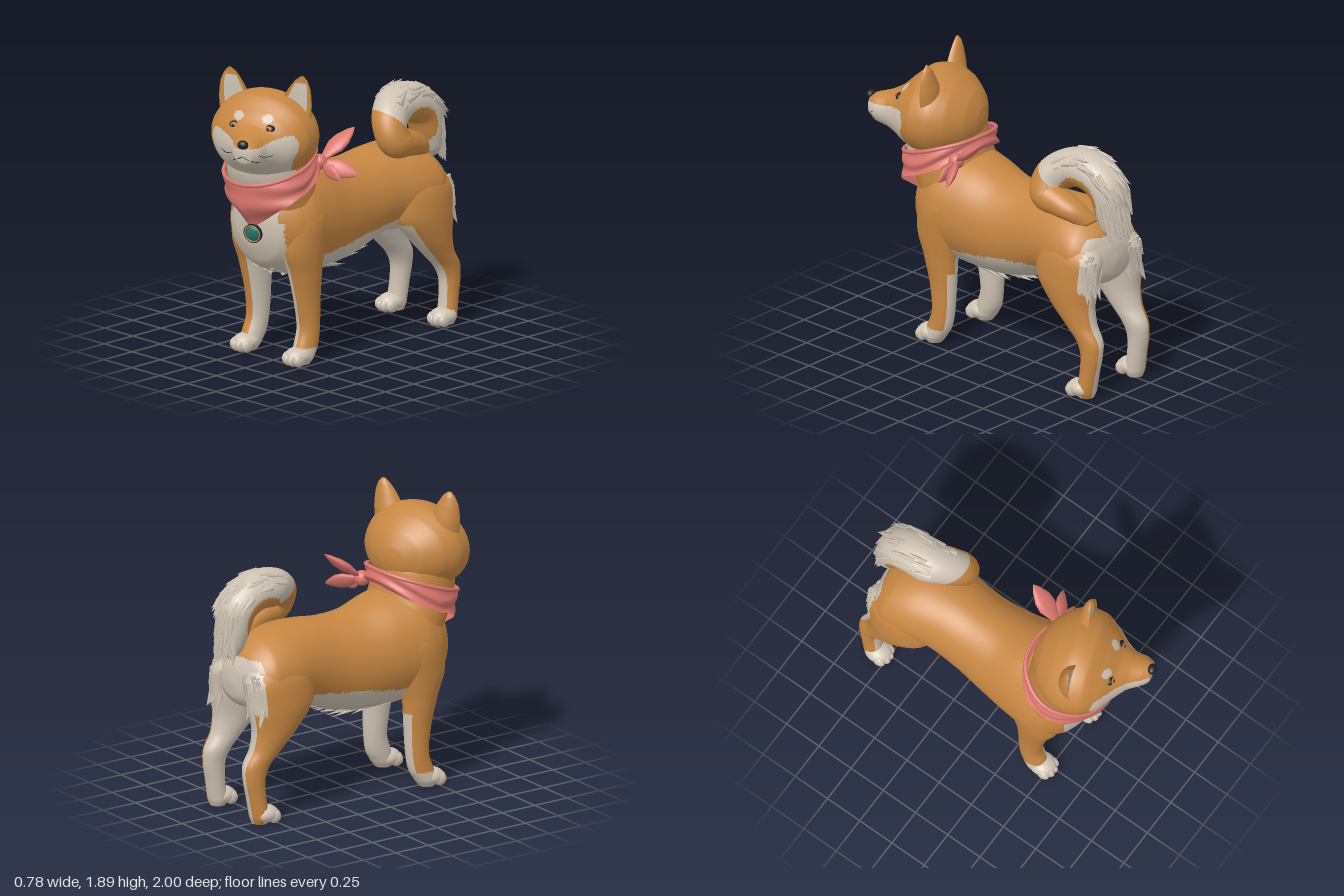
import * as THREE from 'three';
import { mergeGeometries } from 'three/addons/utils/BufferGeometryUtils.js';

const V = (x, y, z) => new THREE.Vector3(x, y, z);
const mat = (name, color, side = THREE.FrontSide) => {
  const m = new THREE.MeshStandardMaterial({ color, side });
  m.name = name;
  return m;
};
const orange = mat('orangeFur', 0xc68642), cream = mat('creamFur', 0xcec2b2);
const pink = mat('pinkCloth', 0xd9756c, THREE.DoubleSide), dark = mat('darkNose', 0x222224);
const teal = mat('tealStone', 0x1f7564), gold = mat('goldTrim', 0xa8884c), amber = mat('amberEye', 0xb87a34);
const MID = -0.05, DOWN = Math.PI / 2, RAD = Math.PI / 180;

let seed = 7;
const rnd = (a, b) => { seed = (seed * 16807) % 2147483647; return a + (b - a) * seed / 2147483647; };

function add(parent, name, geo, material, pos = [0, 0, 0]) {
  const m = new THREE.Mesh(geo, material);
  m.name = name;
  m.position.set(...pos);
  parent.add(m);
  return m;
}

// Smooth skin through rings [x, y, z, halfWidth, halfHeight]. tilt 0 = rings along +z,
// DOWN = rings going down, null = rings follow the path. Returns point(u, angle), tangent(u).
function skin(rings, tilt = 0, flat = 1) {
  const path = new THREE.CatmullRomCurve3(rings.map(r => V(r[0], r[1], r[2])));
  const size = new THREE.CatmullRomCurve3(rings.map(r => V(r[3], r[4], 0)));
  const tangent = u => path.getPoint(Math.min(1, u + 0.01)).sub(path.getPoint(Math.max(0, u - 0.01))).normalize();
  const point = (u, a, k = 1) => {
    const c = path.getPoint(u), s = size.getPoint(u), t = tangent(u);
    const tl = tilt === null ? Math.atan2(-t.y, t.z) : tilt;
    const b = k * s.y * Math.sin(a) * (Math.sin(a) > 0 ? flat : 1);
    return V(c.x + k * s.x * Math.cos(a), c.y + b * Math.cos(tl), c.z + b * Math.sin(tl));
  };
  return { point, tangent };
}

// Mesh a skin; faces where rule(centre, u, angle) holds are cream, the rest orange.
function loft(parent, name, sk, rule, n = 48, m = 48) {
  const pos = [], faces = [[], []], pts = [];
  for (let i = 0; i <= m + 2; i++) {
    const u = Math.min(1, Math.max(0, (i - 1) / m)), k = i === 0 || i === m + 2 ? 0 : 1;
    for (let j = 0; j < n; j++) {
      const p = sk.point(u, j / n * 2 * Math.PI, k);
      pts.push(p);
      pos.push(p.x, p.y, p.z);
    }
  }
  for (let i = 0; i < m + 2; i++) for (let j = 0; j < n; j++) {
    const a = i * n + j, b = i * n + (j + 1) % n, c = a + n, d = b + n;
    for (const f of [[a, b, c], [b, d, c]]) {
      const mid = V(0, 0, 0);
      f.forEach(q => mid.addScaledVector(pts[q], 1 / 3));
      faces[rule(mid, i / (m + 2), (j + 0.5) / n * 2 * Math.PI) ? 1 : 0].push(...f);
    }
  }
  const g = new THREE.BufferGeometry();
  g.setAttribute('position', new THREE.Float32BufferAttribute(pos, 3));
  g.setIndex(faces.flat());
  g.addGroup(0, faces[0].length, 0);
  g.addGroup(faces[0].length, faces[1].length, 1);
  g.computeVertexNormals();
  return add(parent, name, g, [orange, cream]);
}

const aim = (g, dir, at) => g.applyQuaternion(new THREE.Quaternion().setFromUnitVectors(V(0, 1, 0), dir)).translate(at.x, at.y, at.z);

// Pointed locks scattered over part of a skin, lying along it (sign 1) or against it (-1)
function fur(parent, name, sk, [u0, u1], [a0, a1], { count, len, sign, lift = 0.18, width = 0.2 }) {
  const locks = [];
  for (let i = 0; i < count; i++) {
    const u = rnd(u0, u1), a = rnd(a0, a1) * RAD, p = sk.point(u, a);
    const out = p.clone().sub(sk.point(u, a, 0)).normalize();
    const l = len * rnd(0.7, 1.2);
    const dir = sk.tangent(u).multiplyScalar(sign).addScaledVector(out, lift).normalize();
    locks.push(aim(new THREE.ConeGeometry(l * width, l, 6), dir, p.addScaledVector(out, -0.012).addScaledVector(dir, l * 0.3)));
  }
  add(parent, name, mergeGeometries(locks), cream);
}

function ball(parent, name, material, pos, r) {
  const m = add(parent, name, new THREE.SphereGeometry(1, 24, 16), material, pos);
  m.scale.set(...r);
  return m;
}

const tube = (pts, r) => new THREE.TubeGeometry(new THREE.CatmullRomCurve3(pts), 20, r, 5);

function makeBody(g) {
  const body = skin([[-0.908, 0.88, 0.02, 0.02], [-0.895, 0.88, 0.12, 0.1], [-0.85, 0.9, 0.24, 0.18], [-0.75, 0.92, 0.305, 0.24],
    [-0.6, 0.92, 0.305, 0.28], [-0.4, 0.92, 0.268, 0.28], [-0.2, 0.875, 0.262, 0.305], [0, 0.86, 0.285, 0.33], [0.2, 0.89, 0.32, 0.36],
    [0.38, 0.91, 0.34, 0.37], [0.5, 0.9, 0.31, 0.32], [0.6, 0.9, 0.23, 0.25], [0.655, 0.92, 0.13, 0.15], [0.675, 0.93, 0.02, 0.03]]
    .map(([z, y, w, h]) => [MID, y, z, w, h]));
  loft(g, 'body', body, p => (p.z > 0.46 && Math.abs(p.x + 0.035) < (p.y > 0.95 ? 0.19 : 0.225))
    || p.y < Math.min(0.68 - 0.12 * (p.z - 0.26), 0.76) || (p.z < -0.82 && p.y < 1.05), 72, 100);
  fur(g, 'bellyFur', body, [0.42, 0.72], [-120, -60], { count: 26, len: 0.22, sign: -1, lift: 0.03, width: 0.09 });
  fur(g, 'chestTuft', body, [0.74, 0.79], [-110, -70], { count: 14, len: 0.07, sign: -1 });
  const neck = skin([[-0.01, 1.5, 0.54, 0.2, 0.22], [-0.02, 1.4, 0.525, 0.275, 0.25], [-0.03, 1.25, 0.5, 0.28, 0.262],
    [-0.04, 1.15, 0.465, 0.288, 0.26], [MID, 1.0, 0.42, 0.29, 0.22]], DOWN);
  loft(g, 'neck', neck, p => p.z > 0.55 && (p.y > 1.18 ? p.x > -0.2 && p.x < 0.26 : Math.abs(p.x + 0.035) < 0.17));
}

function makeLegs(g) {
  const front = [[1.14, 0.14, 0.36, 0.02, 0.03], [1.1, 0.16, 0.36, 0.095, 0.11], [0.95, 0.2, 0.37, 0.14, 0.185],
    [0.75, 0.215, 0.4, 0.118, 0.165], [0.6, 0.22, 0.39, 0.095, 0.122], [0.4, 0.22, 0.37, 0.075, 0.093],
    [0.22, 0.225, 0.365, 0.069, 0.078], [0.12, 0.23, 0.39, 0.07, 0.085], [0.05, 0.235, 0.42, 0.07, 0.075], [0.005, 0.235, 0.43, 0.05, 0.05]];
  const hind = [[1.12, 0.11, -0.66, 0.02, 0.03], [1.06, 0.14, -0.66, 0.1, 0.13], [0.9, 0.18, -0.67, 0.143, 0.245],
    [0.75, 0.2, -0.67, 0.135, 0.235], [0.6, 0.21, -0.72, 0.112, 0.165], [0.48, 0.21, -0.79, 0.09, 0.115],
    [0.38, 0.21, -0.865, 0.075, 0.095], [0.3, 0.215, -0.885, 0.066, 0.076], [0.18, 0.22, -0.875, 0.063, 0.065],
    [0.05, 0.225, -0.855, 0.066, 0.062], [0.003, 0.225, -0.85, 0.05, 0.05]];
  for (const [s, side] of [[1, 'left'], [-1, 'right']]) for (const [kind, rows] of [['Front', front], ['Hind', hind]]) {
    const isHind = kind === 'Hind';
    const sk = skin(rows.map(([y, dx, z, w, d]) => [MID + s * dx, y, z, w, d]), DOWN);
    // cream on the inner side, on the paw and along one edge of the leg
    const rule = (p, u, a) => {
      const outward = s * Math.cos(a), ahead = Math.sin(a);
      if (isHind) return outward < (p.y < 0.72 ? 0.2 + 0.5 * Math.max(0, ahead) : -0.2)
        || (p.y > 0.72 && p.z < -0.84) || (p.y < 0.1 && p.z > -0.86);
      return outward < (s > 0 ? -0.05 : -0.4) + (p.y < 0.5 ? Math.max(0, -ahead) * (s > 0 ? 0.8 : 1.15) : 0) || p.y < 0.11;
    };
    loft(g, side + kind + 'Leg', sk, rule, 48, 70);
    if (isHind) fur(g, side + 'RumpFur', sk, [0.17, 0.32], [-125, -55], { count: 22, len: 0.11, sign: 1 });
    // paw with four toes
    const px = MID + s * 0.232, pz = isHind ? -0.815 : 0.46;
    ball(g, side + kind + 'Paw', cream, [px, 0.058, pz], [0.08, 0.058, 0.092]);
    for (let i = 0; i < 4; i++) {
      const k = i - 1.5, inner = Math.abs(k) < 1;
      ball(g, side + kind + 'Toe', cream, [px + k * 0.035, 0.044, pz + (inner ? 0.058 : 0.04)], [0.027, 0.042, 0.045]);
    }
  }
}

function makeTail(g) {
  const tail = skin([[0.03, 1.1, -0.76, 0.07, 0.06], [0.09, 1.18, -0.68, 0.085, 0.07], [0.11, 1.22, -0.58, 0.095, 0.085],
    [0.115, 1.26, -0.46, 0.105, 0.11], [0.06, 1.36, -0.465, 0.125, 0.12], [-0.01, 1.43, -0.57, 0.138, 0.125],
    [-0.025, 1.435, -0.72, 0.14, 0.125], [-0.03, 1.36, -0.84, 0.135, 0.12], [-0.03, 1.22, -0.88, 0.12, 0.1],
    [-0.03, 1.11, -0.9, 0.095, 0.075], [-0.03, 1.055, -0.91, 0.05, 0.04], [-0.03, 1.035, -0.915, 0.01, 0.01]], null);
  loft(g, 'tail', tail, (p, u) => u > 0.37 && Math.hypot(p.y - 1.27, p.z + 0.7) > 0.155, 56, 90);
  fur(g, 'tailFur', tail, [0.44, 0.86], [-165, -15], { count: 75, len: 0.13, sign: 1, lift: 0.16 });
}

function makeHead(g) {
  const head = new THREE.Group();
  head.name = 'head';
  head.position.set(-0.015, 1.5, 0.54);
  head.rotation.y = 20 * RAD;
  g.add(head);
  // the muzzle turns a little further than the skull
  const bend = z => 0.055 * THREE.MathUtils.smoothstep(z, 0.15, 0.46);
  const skull = skin([[-0.28, -0.03, 0.02, 0.02], [-0.268, -0.03, 0.09, 0.08], [-0.22, -0.025, 0.2, 0.165], [-0.12, -0.01, 0.305, 0.24],
    [0, -0.008, 0.35, 0.286], [0.1, -0.01, 0.338, 0.27], [0.2, -0.03, 0.27, 0.208], [0.27, -0.04, 0.19, 0.152],
    [0.34, -0.04, 0.125, 0.118], [0.42, -0.035, 0.095, 0.092], [0.465, -0.025, 0.06, 0.06], [0.475, -0.02, 0.01, 0.01]]
    .map(([z, y, w, h]) => [bend(z), y, z, w, h]));
  loft(head, 'skull', skull, p => {
    const x = Math.abs(p.x - bend(p.z));
    const top = Math.min(0.05, 0.012 + 0.3 * Math.max(0, x - 0.1));
    const cheek = p.z > 0.05 && p.y < top && x < 0.3 + 0.45 * Math.min(0, p.y + 0.04) - 0.6 * Math.max(0, p.y);
    const brow = p.z > 0.1 && ((x - 0.1) / 0.034) ** 2 + ((p.y - 0.147) / 0.025) ** 2 < 1;
    return cheek || brow;
  }, 110, 130);
  ball(head, 'nose', dark, [0.055, 0.037, 0.468], [0.036, 0.029, 0.028]);
  for (const s of [1, -1]) {
    // ear with a dished cream inside
    const ear = skin([[0.388, 0.25, 0.015, 0.012, 0.01], [0.36, 0.245, 0.018, 0.042, 0.034], [0.3, 0.234, 0.025, 0.076, 0.06],
      [0.2, 0.21, 0.03, 0.108, 0.09], [0.1, 0.19, 0.03, 0.12, 0.1]].map(([y, x, z, w, d]) => [s * x, y, z, w, d]), DOWN, -0.15);
    loft(head, 'ear', ear, (p, u, a) => Math.abs(a / RAD - 90) < 43 && u > 0.32 && u < 0.92, 48, 36);
    // eye
    const ex = 0.012 + s * 0.12;
    ball(head, 'eyeRim', dark, [ex, 0.09, 0.237], [0.037, 0.026, 0.028]);
    ball(head, 'iris', amber, [ex, 0.092, 0.249], [0.027, 0.02, 0.019]);
    ball(head, 'pupil', dark, [ex, 0.092, 0.259], [0.013, 0.013, 0.012]);
    // mouth line and whisker
    const lip = [[0.8, -28], [0.87, -33], [0.94, -45], [0.985, -88]].map(([u, a]) =>
      skull.point(u, (s > 0 ? a : -180 - a) * RAD));
    add(head, 'mouthLine', tube(lip, 0.003), dark);
    add(head, 'whisker', tube([V(0.05 + s * 0.08, -0.03, 0.42), V(0.05 + s * 0.13, -0.04, 0.42), V(0.05 + s * 0.18, -0.03, 0.39)], 0.002), dark);
  }
}

function makeBandana(g) {
  const at = (a, v) => {
    const c = Math.cos(a), f = Math.max(0, c);
    const drop = 0.11 + 0.045 * (1 - Math.abs(c)) + (c > 0 ? 0.19 * (1 - Math.abs(Math.sin(a))) : 0);
    const fold = 0.01 * Math.sin(v * 9 + 3 * Math.cos(2 * a)) * (0.3 + v);
    return V(-0.03 + (0.3 + 0.025 * v + fold) * Math.sin(a) + 0.03 * v * f, 1.3 - 0.1 * c - v * drop,
      0.5 + (0.278 + fold + 0.03 * v * (1 - v) - 0.08 * v * v * f) * c);
  };
  const cloth = new THREE.PlaneGeometry(1, 1, 96, 16), p = cloth.attributes.position;
  for (let i = 0; i < p.count; i++) {
    const q = at(p.getX(i) * 2 * Math.PI, 0.5 - p.getY(i));
    p.setXYZ(i, q.x, q.y, q.z);
  }
  cloth.computeVertexNormals();
  add(g, 'bandana', cloth, pink);
  const rim = Array.from({ length: 32 }, (_, i) => at(i / 32 * 2 * Math.PI, 0.01));
  add(g, 'bandanaRoll', new THREE.TubeGeometry(new THREE.CatmullRomCurve3(rim, true), 96, 0.013, 8, true), pink);
  // knot and its leaf-shaped ends
  const knot = V(0.17, 1.28, 0.26);
  ball(g, 'knot', pink, knot.toArray(), [0.05, 0.05, 0.05]);
  const leaf = [[0.004, -0.5], [0.2, -0.35], [0.45, -0.05], [0.42, 0.15], [0.2, 0.38], [0.002, 0.5]].map(q => new THREE.Vector2(...q));
  for (const [to, w] of [[V(0.23, 1.47, 0.01), 0.15], [V(0.39, 1.21, 0.13), 0.13], [V(0.35, 1.19, 0.25), 0.1]]) {
    const d = to.clone().sub(knot), len = d.length();
    const geo = new THREE.LatheGeometry(leaf, 20).scale(w, len, w * 0.45);
    add(g, 'bandanaEnd', aim(geo, d.normalize(), knot.clone().lerp(to, 0.5)), pink);
  }
  // round pendant
  const pendant = new THREE.Group();
  pendant.name = 'pendant';
  pendant.position.set(0.018, 0.87, 0.695);
  pendant.rotation.set(0.12, 0.3, 0);
  g.add(pendant);
  add(pendant, 'pendantBack', new THREE.CylinderGeometry(0.062, 0.062, 0.02, 32).rotateX(DOWN), dark);
  add(pendant, 'pendantRim', new THREE.TorusGeometry(0.052, 0.005, 8, 32), gold, [0, 0, 0.01]);
  ball(pendant, 'pendantStone', teal, [0, 0, 0.008], [0.046, 0.046, 0.014]);
}

export function createModel() {
  const g = new THREE.Group();
  g.name = 'dog';
  [makeBody, makeLegs, makeTail, makeHead, makeBandana].forEach(make => make(g));
  return g;
}
